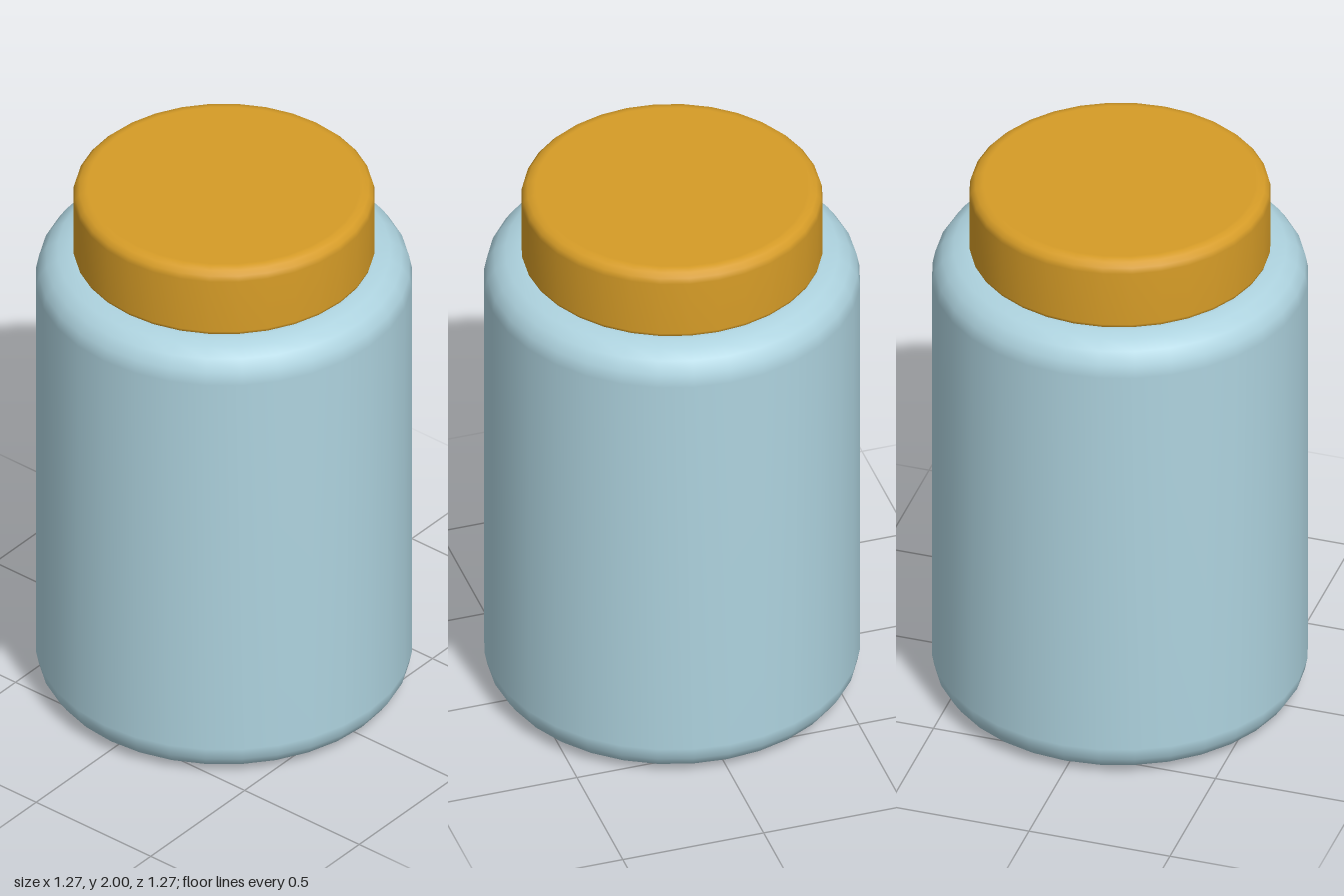
import * as THREE from 'three';

const SIDES = 32;

// Quarter-round profile points, from angle a0 to a1 (degrees)
function arc(cx, cy, r, a0, a1, steps) {
  const points = [];
  for (let i = 0; i <= steps; i++) {
    const a = THREE.MathUtils.degToRad(a0 + ((a1 - a0) * i) / steps);
    points.push(new THREE.Vector2(cx + r * Math.cos(a), cy + r * Math.sin(a)));
  }
  return points;
}

// Closed round solid with rounded bottom and top rims
function roundedCylinder(name, radius, y0, y1, bottomRim, topRim, steps, material) {
  const profile = [
    new THREE.Vector2(0, y0),
    new THREE.Vector2(radius - bottomRim - 0.01, y0),
    ...arc(radius - bottomRim, y0 + bottomRim, bottomRim, -90, 0, steps),
    ...arc(radius - topRim, y1 - topRim, topRim, 0, 90, steps),
    new THREE.Vector2(radius - topRim - 0.01, y1),
    new THREE.Vector2(0, y1),
  ];
  const mesh = new THREE.Mesh(new THREE.LatheGeometry(profile, SIDES), material);
  mesh.name = name;
  return mesh;
}

export function createModel() {
  const paleBlue = new THREE.MeshStandardMaterial({ color: 0xaed3df });
  paleBlue.name = 'paleBlue';
  const amber = new THREE.MeshStandardMaterial({ color: 0xd69c27 });
  amber.name = 'amber';

  const jar = new THREE.Group();
  jar.name = 'jar';
  // Jar body with soft shoulder and foot
  jar.add(roundedCylinder('body', 0.637, 0, 1.742, 0.12, 0.12, 4, paleBlue));
  // Lid resting on the shoulder
  jar.add(roundedCylinder('lid', 0.51, 1.735, 2, 0.02, 0.04, 3, amber));
  return jar;
}
